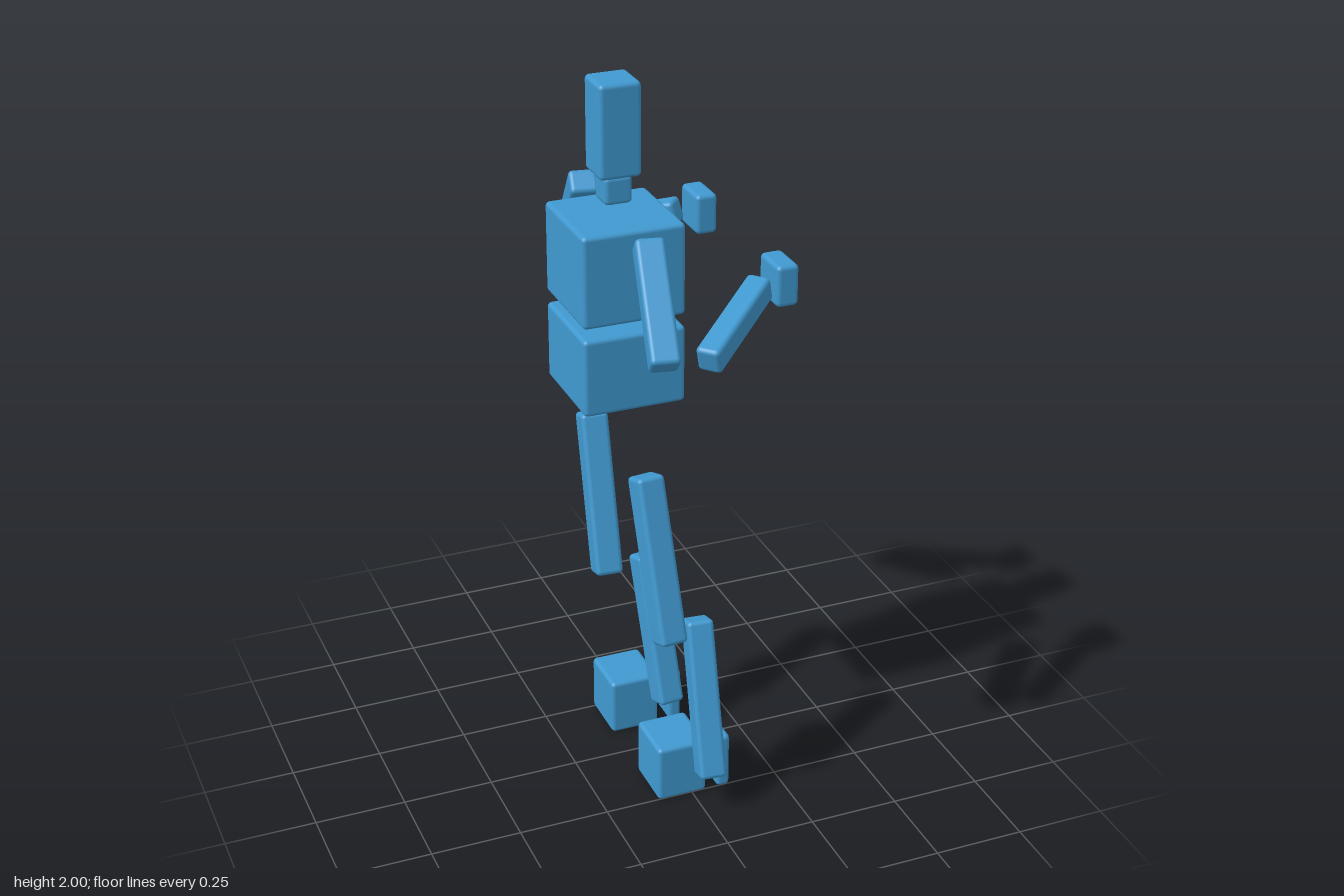
import * as THREE from 'three';
import { RoundedBoxGeometry } from 'three/addons/geometries/RoundedBoxGeometry.js';

export function createModel() {
  const model = new THREE.Group();
  model.name = 'blockMannequin';
  const blue = new THREE.MeshStandardMaterial({ color: 0x4099d0 });
  blue.name = 'blue';
  const BEVEL = 0.012;

  // Bevelled block with a given centre and size
  function block(name, [x, y, z], [w, h, d], parent = model) {
    const mesh = new THREE.Mesh(new RoundedBoxGeometry(w, h, d, 2, BEVEL), blue);
    mesh.name = name;
    mesh.position.set(x, y, z);
    parent.add(mesh);
    return mesh;
  }

  // Bevelled bar running from one point to another, its width kept level
  function bar(name, from, to, width, thick, parent) {
    const a = new THREE.Vector3(...from), b = new THREE.Vector3(...to);
    const mid = a.clone().add(b).multiplyScalar(0.5);
    const mesh = block(name, mid.toArray(), [width, thick, a.distanceTo(b)], parent);
    mesh.lookAt(b);
    return mesh;
  }

  // Head and torso
  block('head', [-0.12, 1.876, 0], [0.112, 0.248, 0.112]);
  block('neck', [-0.12, 1.715, 0], [0.075, 0.075, 0.075]);
  block('chest', [-0.118, 1.521, 0], [0.277, 0.249, 0.279]);
  block('pelvis', [-0.118, 1.259, 0], [0.277, 0.213, 0.279]);

  // Arms, hands and feet on both sides
  for (const s of [1, -1]) {
    const side = s > 0 ? 'front' : 'rear';
    const arm = new THREE.Group();
    arm.name = side + 'Arm';
    const elbowX = s > 0 ? -0.163 : -0.075;
    bar('upperArm', [-0.117, 1.65, s * 0.225], [elbowX, 1.415, s * 0.45], 0.075, 0.068, arm);
    bar('forearm', [-0.058, 1.42, s * 0.465], [0.168, 1.507, s * 0.27], 0.064, 0.068, arm);
    block('hand', [0.223, 1.511, s * 0.258], [0.06, 0.111, 0.112], arm);

    const foot = new THREE.Group();
    foot.name = side + 'Foot';
    block('heel', [-0.03, 0.083, s * 0.177], [0.142, 0.164, 0.16], foot);
    block('toe', [0.092, 0.083, s * 0.177], [0.038, 0.164, 0.16], foot);
    model.add(arm, foot);
  }

  // Legs, both leaning the same way
  bar('frontThigh', [-0.118, 0.995, 0.206], [-0.105, 0.565, 0.344], 0.076, 0.074);
  bar('rearThigh', [-0.118, 0.995, -0.19], [-0.128, 0.565, -0.055], 0.076, 0.074);
  bar('frontShin', [0.033, 0.525, 0.198], [0.019, 0.107, 0.336], 0.074, 0.074);
  bar('rearShin', [0.033, 0.525, -0.18], [0.048, 0.107, -0.045], 0.074, 0.074);

  return model;
}
